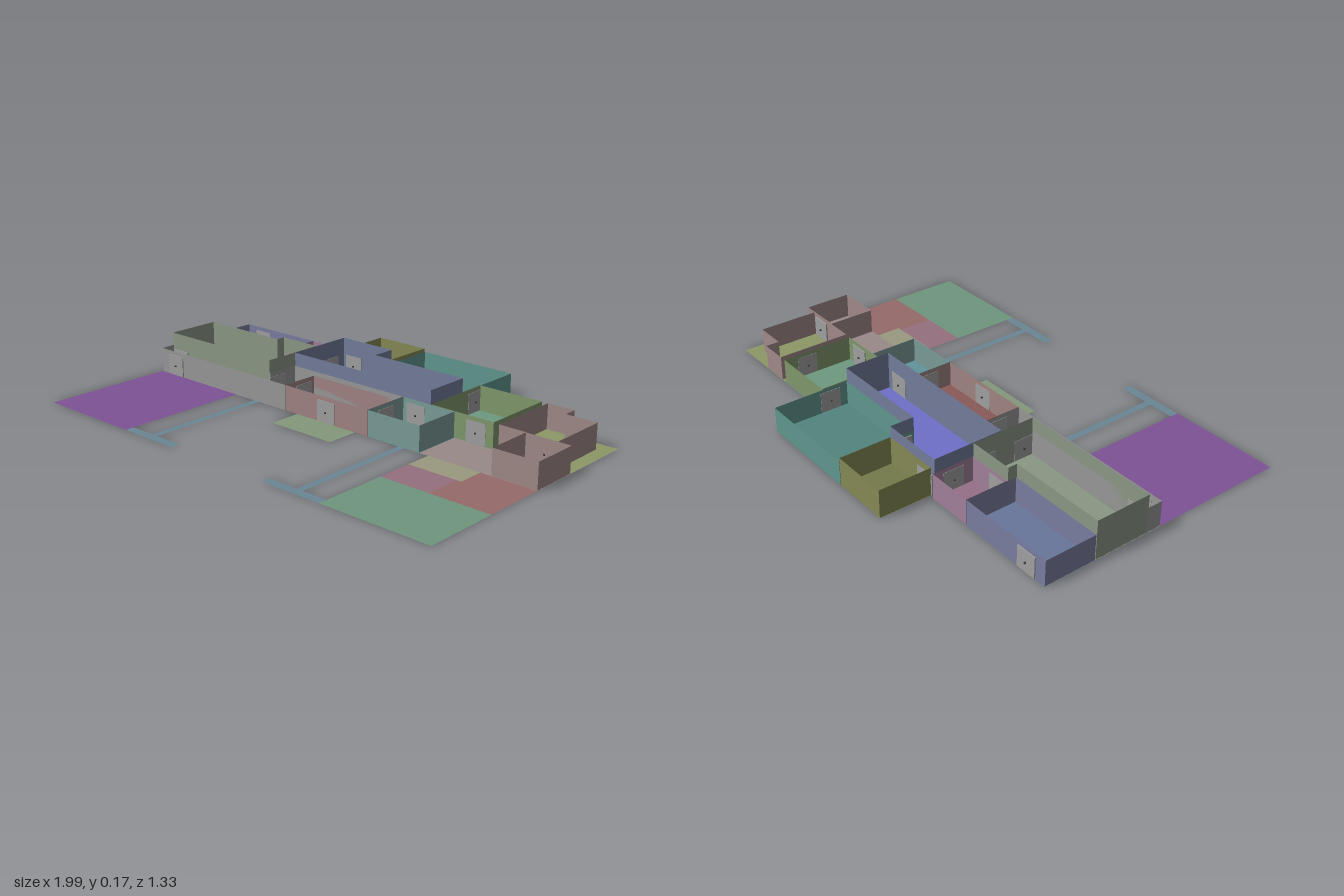
import * as THREE from 'three';

const LOW = 0.108, HIGH = 0.165;

function material(color) {
  return new THREE.MeshStandardMaterial({ color, side: THREE.DoubleSide });
}

// Corner list [x, z] of a rectangle
const rect = (x0, x1, z0, z1) => [[x0, z0], [x1, z0], [x1, z1], [x0, z1]];

// Flat floor from a corner outline
function floor(name, outline, color) {
  const shape = new THREE.Shape(outline.map(([x, z]) => new THREE.Vector2(x, -z)));
  const geometry = new THREE.ShapeGeometry(shape).rotateX(-Math.PI / 2).translate(0, 0.001, 0);
  const mesh = new THREE.Mesh(geometry, material(color));
  mesh.name = name;
  return mesh;
}

// Thin upright walls along a path, pulled in slightly so neighbouring rooms do not coincide
function walls(name, path, height, color, closed = true) {
  const group = new THREE.Group();
  group.name = name;
  const mat = material(color);
  const cx = path.reduce((s, p) => s + p[0], 0) / path.length;
  const cz = path.reduce((s, p) => s + p[1], 0) / path.length;
  const pts = path.map(([x, z]) => [x - 0.0015 * Math.sign(x - cx), z - 0.0015 * Math.sign(z - cz)]);
  const count = closed ? pts.length : pts.length - 1;
  for (let i = 0; i < count; i++) {
    const [ax, az] = pts[i], [bx, bz] = pts[(i + 1) % pts.length];
    const panel = new THREE.Mesh(new THREE.PlaneGeometry(Math.hypot(bx - ax, bz - az), height), mat);
    panel.position.set((ax + bx) / 2, height / 2, (az + bz) / 2);
    panel.rotation.y = -Math.atan2(bz - az, bx - ax);
    panel.name = 'wallPanel';
    group.add(panel);
  }
  return group;
}

// Door leaf with a knob on each face
function door(x, z, alongZ) {
  const group = new THREE.Group();
  group.name = 'door';
  const mat = new THREE.MeshStandardMaterial({ color: 0xa0a0a0 });
  const leaf = new THREE.Mesh(new THREE.BoxGeometry(0.09, 0.088, 0.006), mat);
  leaf.name = 'doorLeaf';
  leaf.position.y = 0.046;
  group.add(leaf);
  const knob = new THREE.Mesh(new THREE.BoxGeometry(0.006, 0.006, 0.018),
    new THREE.MeshStandardMaterial({ color: 0x404040 }));
  knob.name = 'doorKnob';
  knob.position.y = 0.044;
  group.add(knob);
  group.position.set(x, 0, z);
  if (alongZ) group.rotation.y = Math.PI / 2;
  return group;
}

export function createModel() {
  const model = new THREE.Group();
  model.name = 'floorPlan';

  // Rooms: name, outline, wall height, floor colour, wall colour
  const rooms = [
    ['backStore', rect(-0.36, -0.105, -0.668, -0.44), 0.12, 0x747a4a, 0x868a55],
    ['backRoom', rect(-0.105, 0.357, -0.668, -0.335), 0.105, 0x52847e, 0x609890],
    ['cornerRoom', rect(-0.995, -0.575, -0.45, -0.225), LOW, 0x68769a, 0x7a7ea0],
    ['smallRoom', rect(-0.575, -0.378, -0.45, -0.265), LOW, 0x967088, 0xa0809a],
    ['tallHall', [[-0.995, -0.225], [-0.575, -0.225], [-0.575, -0.265], [-0.378, -0.265],
      [-0.378, 0.018], [-0.995, 0.018]], HIGH, 0x8a9884, 0x8c9886],
    ['centralRoom', [[-0.378, -0.44], [-0.105, -0.44], [-0.105, -0.335], [0.357, -0.335],
      [0.357, -0.13], [-0.378, -0.13]], HIGH, 0x7070c8, 0x747c9c],
    ['greenRoom', rect(0.357, 0.655, -0.45, -0.13), LOW, 0x6e9a80, 0x80986c],
    ['corridor', [[-0.995, 0.018], [-0.378, 0.018], [-0.378, -0.13], [0.22, -0.13], [0.22, -0.085],
      [-0.222, -0.085], [-0.222, 0.083], [-0.995, 0.083]], LOW, 0x9a9a9a, 0x989898],
    ['entryRoom', rect(-0.222, 0.22, -0.085, 0.083), LOW, 0x8a5a58, 0xa08482],
    ['sideRoom', rect(0.22, 0.475, -0.13, 0.083), LOW, 0x60949a, 0x7a9c98],
  ];
  for (const [name, outline, height, floorColor, wallColor] of rooms) {
    const room = new THREE.Group();
    room.name = name;
    room.add(floor(name + 'Floor', outline, floorColor), walls(name + 'Walls', outline, height, wallColor));
    model.add(room);
  }

  // Open end floors with partial walls
  model.add(
    floor('endFloor', rect(0.475, 0.997, -0.13, 0.083), 0x988a88),
    floor('endBackFloor', rect(0.655, 0.997, -0.45, -0.13), 0x8e9866),
    walls('endRoomWalls', rect(0.8, 0.997, -0.125, 0.083), LOW, 0xa08a88),
    walls('endBackWalls', [[0.94, -0.125], [0.94, -0.39], [0.8, -0.39], [0.8, -0.45],
      [0.68, -0.45], [0.68, -0.125], [0.8, -0.125]], LOW, 0xa08a88, false)
  );

  // Ground areas in front of the building
  model.add(
    floor('driveway', rect(-0.995, -0.517, 0.083, 0.665), 0x7e5296),
    floor('porch', rect(-0.155, 0.157, 0.083, 0.225), 0x84987a),
    floor('yardUpper', rect(0.517, 0.755, 0.083, 0.195), 0x9a9a80),
    floor('yardMiddle', rect(0.517, 0.735, 0.195, 0.35), 0x96707e),
    floor('yardSide', [[0.755, 0.083], [0.997, 0.083], [0.997, 0.35], [0.735, 0.35],
      [0.735, 0.195], [0.755, 0.195]], 0x966a6a),
    floor('lawn', rect(0.517, 0.997, 0.35, 0.665), 0x6e967e)
  );
  for (const s of [-1, 1]) {
    const xs = (a, b) => (s > 0 ? [a, b] : [-b, -a]);
    model.add(
      floor('path', rect(...xs(0.375, 0.405), 0.083, 0.627), 0x6a8696),
      floor('pathEnd', rect(...xs(0.245, 0.517), 0.627, 0.665), 0x6a8696)
    );
  }

  // Doors in walls running along x, then along z
  const across = [[-0.9, -0.45], [-0.32, -0.44], [-0.52, -0.265], [0.285, -0.13], [0.573, -0.133],
    [0.885, -0.128], [-0.94, 0.018], [-0.9, 0.083], [0.003, 0.083]];
  const along = [[-0.378, -0.355], [-0.105, -0.39], [-0.378, -0.205], [0.357, -0.415],
    [0.655, -0.34], [-0.222, -0.025], [0.22, -0.025], [-0.378, -0.025]];
  across.forEach(([x, z]) => model.add(door(x, z, false)));
  along.forEach(([x, z]) => model.add(door(x, z, true)));

  return model;
}
